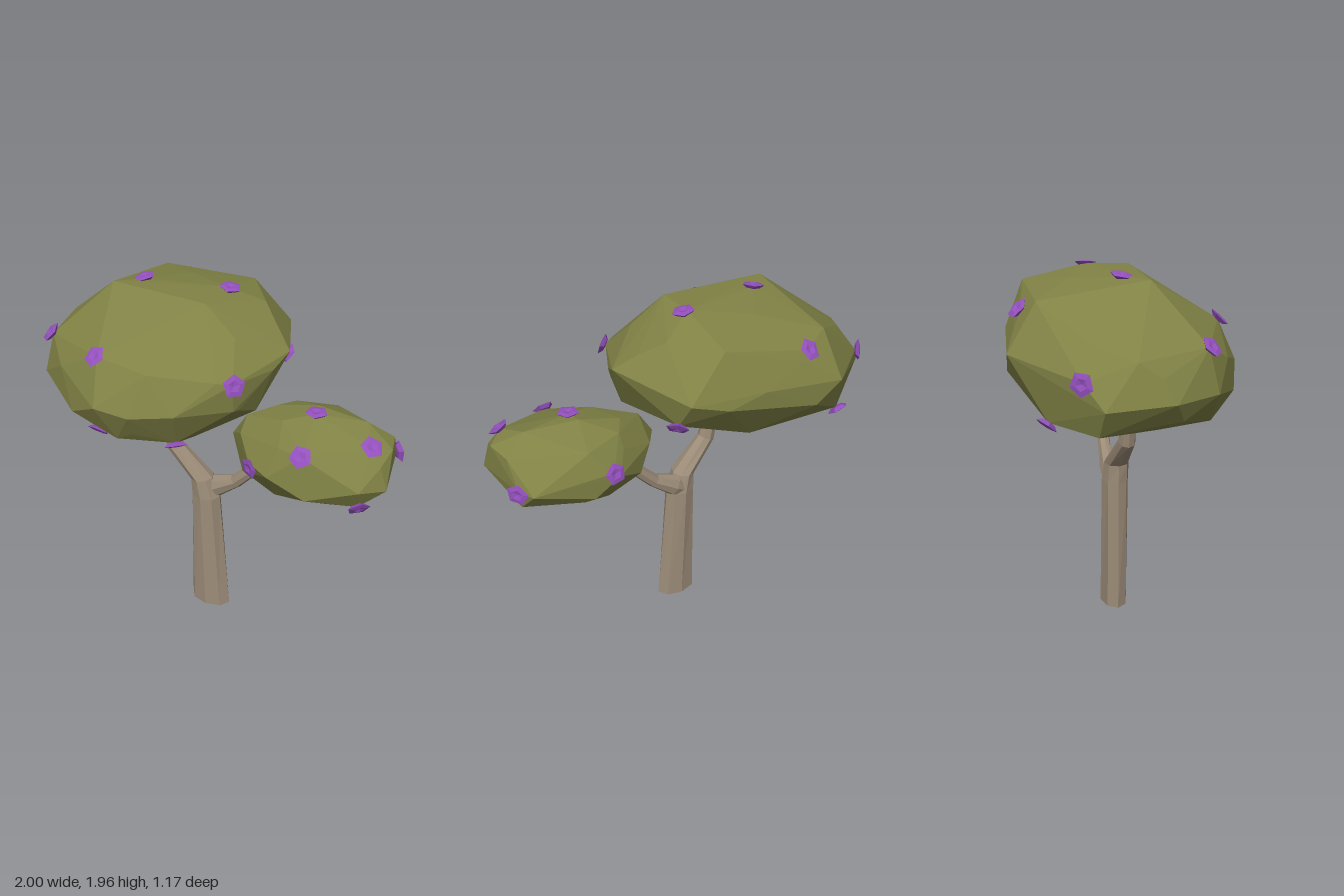
import * as THREE from 'three';
import { ConvexGeometry } from 'three/addons/geometries/ConvexGeometry.js';

const flat = (color) => new THREE.MeshStandardMaterial({ color, flatShading: true });
const bark = flat(0x9c8c78);
const leaf = flat(0x808245);
const petal = flat(0x9350bd);
const V = (a) => new THREE.Vector3(...a);

// Skin of eight-sided sections [x, y, z, rx, rz, tilt], listed from bottom to top
function limb(name, sections) {
  const N = 8, pos = [], idx = [];
  for (const [x, y, z, rx, rz, tilt] of sections) {
    for (let i = 0; i < N; i++) {
      const a = (i / N) * Math.PI * 2, u = Math.cos(a) * rx;
      pos.push(x + u * Math.cos(tilt), y + u * Math.sin(tilt), z + Math.sin(a) * rz);
    }
  }
  for (let s = 0; s < sections.length - 1; s++) {
    for (let i = 0; i < N; i++) {
      const a = s * N + i, b = s * N + ((i + 1) % N);
      idx.push(a, a + N, b, b, a + N, b + N);
    }
  }
  const top = (sections.length - 1) * N;
  for (let i = 1; i < N - 1; i++) idx.push(0, i, i + 1, top, top + i + 1, top + i);
  const g = new THREE.BufferGeometry();
  g.setAttribute('position', new THREE.Float32BufferAttribute(pos, 3));
  g.setIndex(idx);
  const flatG = g.toNonIndexed();
  flatG.computeVertexNormals();
  const m = new THREE.Mesh(flatG, bark);
  m.name = name;
  return m;
}

// Five-sided cupped blossom
const cup = new THREE.LatheGeometry(
  [[0, -0.015], [0.035, -0.01], [0.058, 0.008], [0.03, 0.013], [0, 0.005]].map((p) => new THREE.Vector2(...p)), 5);

// Faceted hull of a leaning ellipsoid, stretched by corner points and dotted with blossoms
function crown(name, center, radii, lean, count, corners, spots) {
  const c = V(center), R = V(radii);
  const group = new THREE.Group();
  group.name = name;
  const pts = corners.map(V);
  for (let i = 0; i < count; i++) {
    const h = 1 - (2 * (i + 0.5)) / count, r = Math.sqrt(1 - h * h), a = i * 2.39996;
    const dx = r * Math.cos(a), dz = r * Math.sin(a);
    const p = new THREE.Vector3(dx * R.x, h * R.y + dx * lean[0] + dz * lean[1], dz * R.z);
    pts.push(p.multiplyScalar(0.96).add(c));
  }
  spots.forEach((s, i) => {
    const p = V(s), d = p.clone().sub(c);
    pts.push(c.clone().addScaledVector(d, 0.985));
    // outward direction of the leaning ellipsoid
    const dx = d.x / R.x, dz = d.z / R.z;
    const ny = (d.y - dx * lean[0] - dz * lean[1]) / R.y;
    const n = new THREE.Vector3((dx - (ny * lean[0]) / R.y) / R.x, ny / R.y, (dz - (ny * lean[1]) / R.y) / R.z);
    const b = new THREE.Mesh(cup, petal);
    b.name = 'blossom';
    b.position.copy(p);
    b.quaternion.setFromUnitVectors(new THREE.Vector3(0, 1, 0), n.normalize());
    b.rotateY(i * 1.3);
    group.add(b);
  });
  const foliage = new THREE.Mesh(new ConvexGeometry(pts), leaf);
  foliage.name = name + 'Foliage';
  group.add(foliage);
  return group;
}

export function createModel() {
  const tree = new THREE.Group();
  tree.name = 'tree';

  // Trunk running into one branch, and the other branch forking off
  tree.add(limb('trunk', [
    [-0.02, 0, 0.042, 0.123, 0.076, 0],
    [-0.047, 0.77, 0.042, 0.084, 0.075, 0],
    [-0.07, 0.88, 0.045, 0.062, 0.07, 0.1],
    [-0.23, 1.05, 0.06, 0.048, 0.047, 0.4],
    [-0.275, 1.27, 0.06, 0.038, 0.038, 0.15],
  ]));
  tree.add(limb('leftBranch', [
    [-0.05, 0.79, 0.03, 0.06, 0.055, -1.1],
    [0.005, 0.825, 0.02, 0.065, 0.052, -1.1],
    [0.13, 0.9, 0.025, 0.039, 0.036, -0.8],
    [0.27, 1.05, 0.03, 0.033, 0.035, -0.8],
    [0.38, 1.15, 0.03, 0.03, 0.033, -0.8],
  ]));

  // Large crown: top, rim and underside corners, then blossoms
  tree.add(crown('largeCrown', [-0.31, 1.575, 0], [0.69, 0.35, 0.58], [0.07, -0.1], 46, [
    [-0.55, 1.94, 0.08], [0, 1.95, -0.1], [0, 1.94, 0.12], [0.17, 1.87, -0.2], [-0.55, 1.865, -0.45], [0, 1.88, -0.43],
    [-0.58, 1.64, -0.59], [0.02, 1.62, -0.52], [0.2, 1.67, -0.47], [0.38, 1.71, -0.04], [0.27, 1.42, 0.1],
    [-1, 1.47, -0.24], [-0.99, 1.48, 0.08], [-0.93, 1.66, -0.08], [-0.9, 1.47, 0.23], [-0.75, 1.5, 0.37],
    [-0.37, 1.5, 0.58], [-0.19, 1.48, 0.56], [0.24, 1.5, 0.29], [-0.45, 1.53, -0.575], [-0.2, 1.34, -0.38],
    [-0.93, 1.34, -0.25], [-0.65, 1.26, -0.2], [-0.3, 1.31, 0.5], [-0.22, 1.2, 0.08], [-0.35, 1.21, 0], [0, 1.27, 0.25],
  ], [
    [-0.82, 1.68, 0.28], [-0.41, 1.72, 0.47], [0.25, 1.65, 0.31], [-0.43, 1.945, -0.03], [0.02, 1.945, -0.1],
    [-0.42, 1.81, -0.51], [-0.92, 1.58, -0.32], [0.22, 1.52, -0.38], [-0.02, 1.3, 0.4], [-0.42, 1.32, 0.48],
    [-0.72, 1.35, -0.44],
  ]));

  // Small crown
  tree.add(crown('smallCrown', [0.56, 1.22, 0.05], [0.43, 0.24, 0.3], [0.02, 0], 32, [
    [0.56, 1.47, -0.01], [0.83, 1.47, 0.03], [0.98, 1.4, 0.1], [0.96, 1.35, 0.2], [1, 1.23, 0.2], [0.12, 1.22, 0.05],
    [0.2, 1.35, 0.05], [0.34, 1.41, -0.02], [0.4, 1.4, -0.12], [0.19, 1.1, 0.08], [0.47, 1, 0.08], [0.66, 0.97, 0.08],
    [0.78, 1, 0.05], [0.93, 1.12, 0.12], [0.93, 1.14, -0.1], [0.95, 1.39, -0.03], [0.47, 1.25, -0.26],
    [0.9, 1.25, -0.2], [0.6, 1.15, -0.24], [0.6, 1.39, -0.19], [0.6, 1.35, 0.32], [0.65, 1.15, 0.35],
    [0.45, 1.22, 0.35], [0.9, 1.25, 0.31],
  ], [
    [0.61, 1.37, 0.32], [0.33, 1.2, 0.28], [0.89, 1.13, 0.25], [0.9, 1.43, 0.18], [0.58, 1.47, 0.07],
    [0.5, 1.28, -0.26], [0.95, 1.25, -0.13],
  ]));
  return tree;
}
